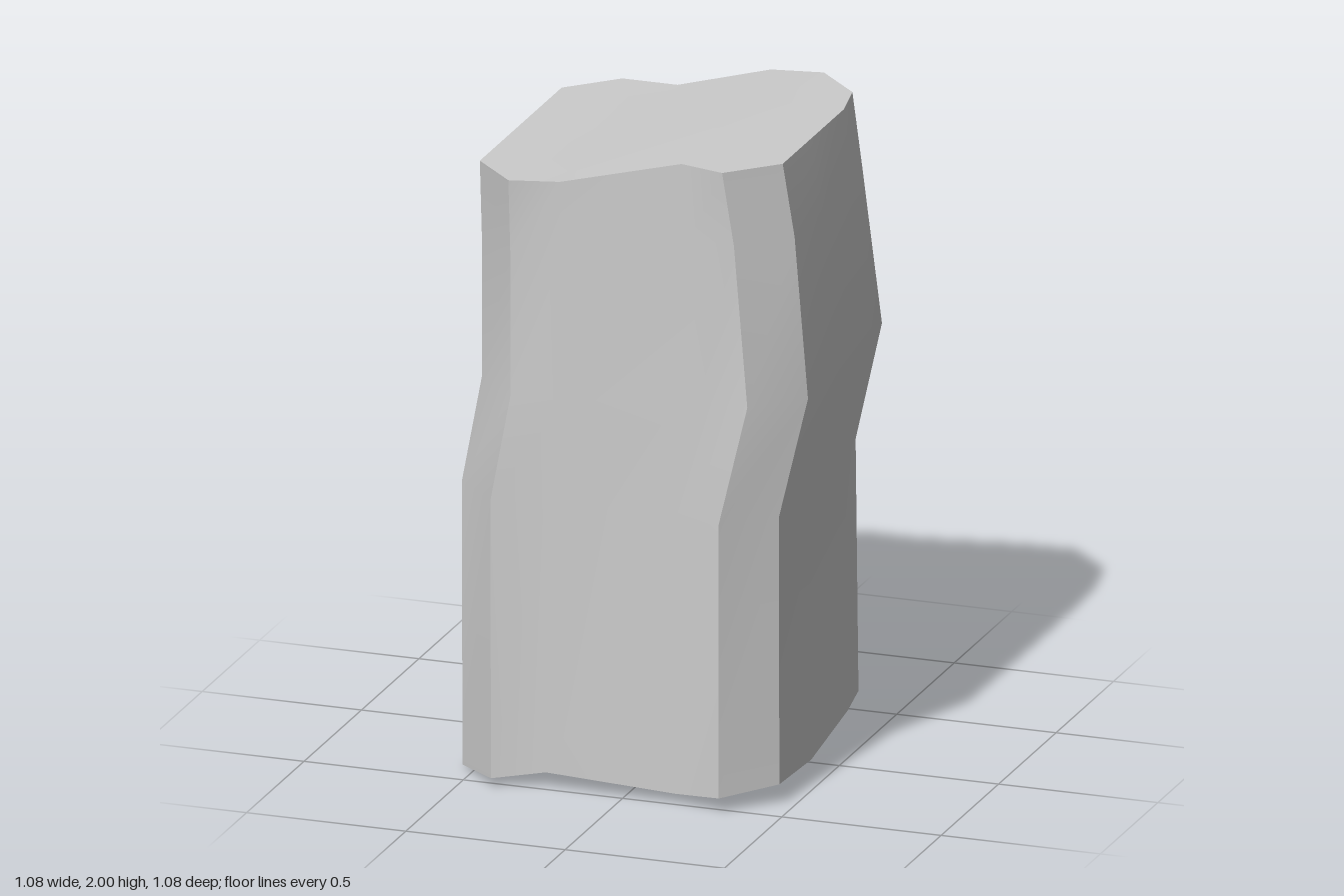
import * as THREE from 'three';

const { lerp, clamp } = THREE.MathUtils;

// piecewise linear curve through ascending [input, output] points
function curve(points, v) {
  for (let i = 1; i < points.length; i++) {
    const [a, p] = points[i - 1], [b, q] = points[i];
    if (v <= b || i === points.length - 1) return lerp(p, q, clamp((v - a) / (b - a), 0, 1));
  }
}

// uneven heights of the horizontal loops
const rise = (x) => clamp((x + 0.17) / 0.33, 0, 1);
const bottomY = (x, z) =>
  curve([[-0.54, 0.012], [-0.4, 0.03], [-0.23, 0.055], [0.17, 0.033], [0.455, 0.065]], x) +
  curve([[-0.4, 0.045], [-0.2, 0.04], [0.12, -0.012], [0.4, 0], [0.54, 0]], z);
const topY = (x) => 1.9 + 0.1 * rise(x);

// loops from bottom to top: left x, right x, front z, back z at left, back z at right
const LEVELS = [
  { y: bottomY, size: [-0.54, 0.455, 0.537, -0.54, -0.515] },
  { y: () => 0.9, size: [-0.54, 0.455, 0.54, -0.515, -0.49] },
  { y: (x) => 1.22 + 0.05 * rise(x), size: [-0.487, 0.537, 0.515, -0.515, -0.492] },
  { y: (x) => 1.67 + 0.1 * rise(x), size: [-0.487, 0.495, 0.515, -0.46, -0.437] },
  { y: topY, size: [-0.487, 0.464, 0.532, -0.46, -0.437] },
];

// chamfered cross-section: four points along each of its four sides
function section({ y, size: [xl, xr, zf, zbl, zbr] }) {
  const c = 0.14, xb = xr - 0.03;
  const point = (x, z) => new THREE.Vector3(x, y(x, z), z);
  const sideT = [0, 0.36, 0.77, 1], backT = [0, 0.27, 0.74, 1];
  return {
    front: [0, 0.22, 0.79, 1].map((t, i) => point(lerp(xl + c, xr - c, t), i % 3 ? 0.495 : zf)),
    right: sideT.map((t, i) => point(i === 3 ? xb : xr, lerp(zf - c, zbr + c, t))),
    back: backT.map((t, i) => point(lerp(xl + c, xb - c, t), i < 2 ? zbl : zbr)),
    left: sideT.map((t) => point(xl, lerp(zf - c, zbl + c, t))),
    y,
  };
}

// smooth surface from rows of points
function surface(name, rows, material, flip = false) {
  const n = rows[0].length, index = [];
  for (let r = 0; r < rows.length - 1; r++) {
    for (let i = 0; i < n - 1; i++) {
      const a = r * n + i, b = a + 1, c = b + n, d = a + n;
      index.push(...(flip ? [a, c, b, a, d, c] : [a, b, c, a, c, d]));
    }
  }
  const geometry = new THREE.BufferGeometry().setFromPoints(rows.flat());
  geometry.setIndex(index);
  geometry.computeVertexNormals();
  const mesh = new THREE.Mesh(geometry, material);
  mesh.name = name;
  return mesh;
}

// rows of points covering an end, running from front to back
function capRows({ front, right, back, left, y }) {
  const edge = (p) => [p[0], ...p, p[3]];
  const inner = left.map((l, j) => {
    const r = right[j];
    const middle = front.map((f, i) => {
      const t = (f.z - l.z) / (f.z - back[i].z);
      const x = lerp(f.x, back[i].x, t);
      const z = lerp(l.z, r.z, (x - l.x) / (r.x - l.x));
      return new THREE.Vector3(x, y(x, z), z);
    });
    return [l, ...middle, r];
  });
  return [edge(front), ...inner, edge(back)];
}

export function createModel() {
  const group = new THREE.Group();
  group.name = 'stonePillar';
  const material = new THREE.MeshStandardMaterial({ color: 0xcccccc });
  const sections = LEVELS.map(section);

  // loops run anticlockwise seen from above, closed at the first point
  const loops = sections.map(({ front, right, back, left }) =>
    [...front, ...right, ...back.slice().reverse(), ...left.slice().reverse(), front[0]]);

  // four broad faces, each followed by its corner chamfer
  const names = ['front', 'right', 'back', 'left'];
  const modelNames = { front: 'front', right: 'left', back: 'back', left: 'right' };
  names.forEach((side, s) => {
    const i = s * 4, name = modelNames[side];
    group.add(surface(`${name}Face`, loops.map((l) => l.slice(i, i + 4)), material));
    group.add(surface(`${name}Chamfer`, loops.map((l) => l.slice(i + 3, i + 5)), material));
  });

  // uneven ends
  group.add(surface('topFace', capRows(sections[4]), material));
  group.add(surface('bottomFace', capRows(sections[0]), material, true));
  return group;
}
